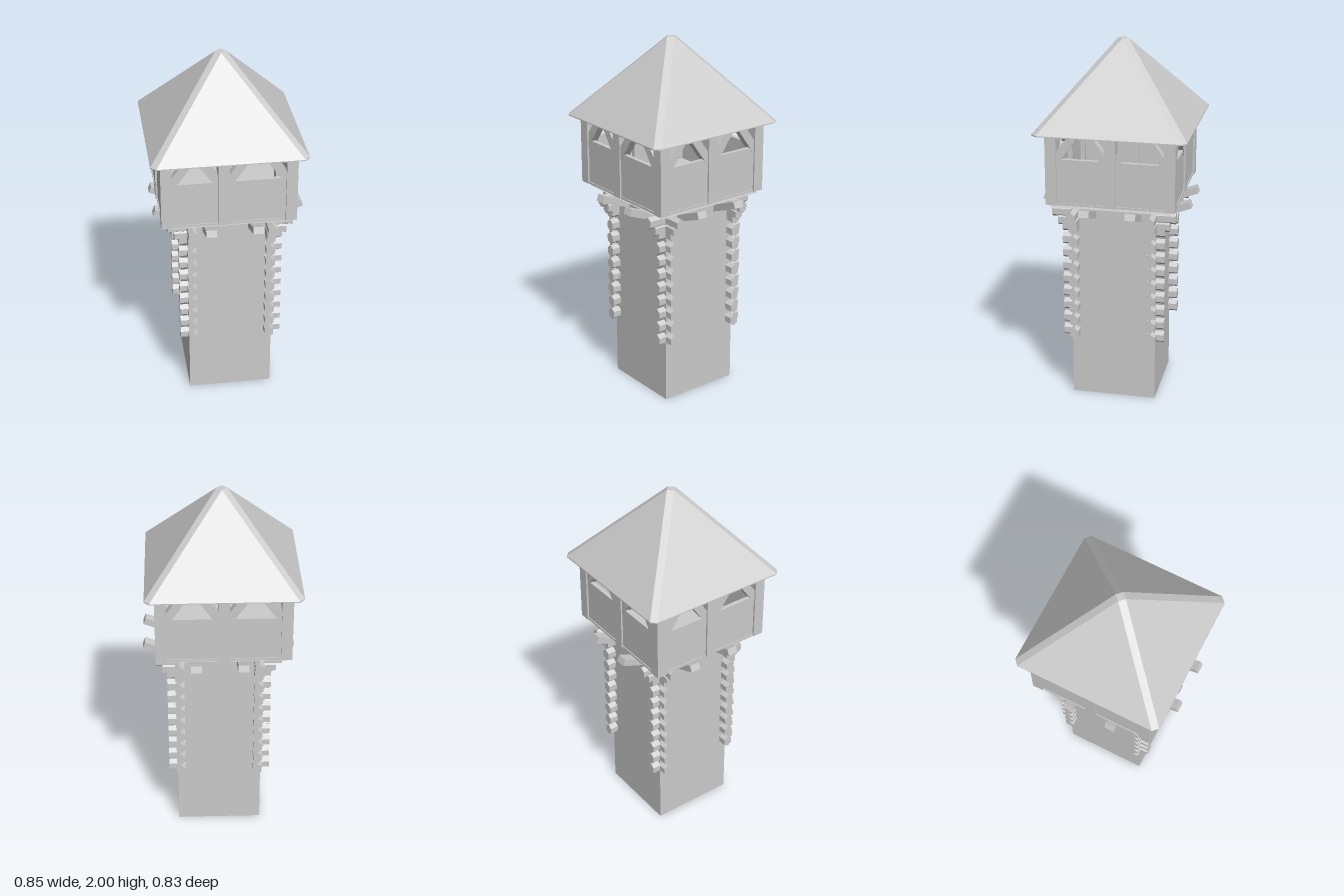
import * as THREE from 'three';
import { ConvexGeometry } from 'three/addons/geometries/ConvexGeometry.js';

const mat = new THREE.MeshStandardMaterial({ color: 0xcccccc, flatShading: true });
const matDouble = new THREE.MeshStandardMaterial({ color: 0xcccccc, flatShading: true, side: THREE.DoubleSide });

function add(parent, name, geometry, x = 0, y = 0, z = 0, material = mat) {
  const mesh = new THREE.Mesh(geometry, material);
  mesh.name = name;
  mesh.position.set(x, y, z);
  parent.add(mesh);
  return mesh;
}

const box = (w, h, d) => new THREE.BoxGeometry(w, h, d);

// Square ring of corner points, with corners cut by c
function squareRing(half, y, c = 0) {
  const pts = [];
  for (const sx of [-1, 1]) for (const sz of [-1, 1]) {
    pts.push(new THREE.Vector3(sx * (half - c), y, sz * half));
    if (c) pts.push(new THREE.Vector3(sx * half, y, sz * (half - c)));
  }
  return pts;
}

// Hexagonal log end along z, from z0 to z1, with a ridge on top
function logGeometry(z0, z1) {
  const g = new THREE.CylinderGeometry(0.034, 0.034, z1 - z0, 6);
  g.rotateX(Math.PI / 2);
  g.scale(0.83, 1, 1);
  g.translate(0, 0, (z0 + z1) / 2);
  return g;
}

// Flat beam in the xy plane between two points
function beam(parent, name, x0, y0, x1, y1, z, thick, depth) {
  const m = add(parent, name, box(Math.hypot(x1 - x0, y1 - y0), thick, depth), (x0 + x1) / 2, (y0 + y1) / 2, z);
  m.rotation.z = Math.atan2(y1 - y0, x1 - x0);
}

function createTowerBase() {
  const base = new THREE.Group();
  base.name = 'towerBase';
  base.position.set(0.022, 0, 0.002);

  // Hollow shaft, open at the bottom
  const half = 0.2335, top = 1.115;
  const shaft = new THREE.CylinderGeometry(half * Math.SQRT2, half * Math.SQRT2, top, 4, 1, true);
  shaft.rotateY(Math.PI / 4);
  add(base, 'shaft', shaft, 0, top / 2, 0, matDouble);

  // Shallow flared collar on the shaft
  add(base, 'collar', new ConvexGeometry([...squareRing(half, 1.105), ...squareRing(0.33, 1.14)]));

  // Interlocked log ends at the corners, stepping out under the room
  const rows = [];
  for (let i = 0; i < 9; i++) rows.push([0.379 + i * 0.078, 0.283]);
  rows.push([1.035, 0.307], [1.083, 0.34]);
  for (let side = 0; side < 4; side++) {
    const logs = new THREE.Group();
    logs.name = 'cornerLogs';
    logs.rotation.y = side * Math.PI / 2;
    for (const [y, reach] of rows) for (const s of [-1, 1])
      add(logs, 'logEnd', logGeometry(0.19, reach), s * 0.215, y, 0);
    base.add(logs);
  }

  // Two sloping brackets on each side carry the room
  for (let side = 0; side < 4; side++) {
    const brackets = new THREE.Group();
    brackets.name = 'brackets';
    brackets.rotation.y = side * Math.PI / 2;
    for (const s of [-1, 1])
      beam(brackets, 'bracket', 0.2, 1.062, 0.405, 1.14, s * 0.125, 0.038, 0.057);
    base.add(brackets);
  }
  return base;
}

function createRoom() {
  const room = new THREE.Group();
  room.name = 'lookoutRoom';
  const low = 1.155, eave = 1.55, sill = 1.41, post = 0.06;
  const hx = 0.362, hz = 0.35, midY = (low + eave) / 2;

  add(room, 'floor', box(2 * hx - 0.01, 0.012, 2 * hz - 0.01), 0, low + 0.006, 0);
  for (const sx of [-1, 1]) for (const sz of [-1, 1])
    add(room, 'cornerPost', box(post, eave - low, post), sx * (hx - post / 2), midY, sz * (hz - post / 2));

  // Each wall: low panel, middle post and four braces
  const walls = [
    ['frontWall', 0, hx, hz, -0.03],
    ['backWall', Math.PI, hx, hz, 0],
    ['leftWall', Math.PI / 2, hz, hx, 0],
    ['rightWall', -Math.PI / 2, hz, hx, 0],
  ];
  for (const [name, angle, half, dist, mid] of walls) {
    const wall = new THREE.Group();
    wall.name = name;
    wall.rotation.y = angle;
    add(wall, 'panel', box(2 * half - 0.04, sill - low, 0.024), 0, (sill + low) / 2, dist - 0.022);
    add(wall, 'middlePost', box(post, eave - low, post), mid, midY, dist - post / 2);
    const edges = [[-half + post, 1], [mid - post / 2, -1], [mid + post / 2, 1], [half - post, -1]];
    for (const [x, dir] of edges)
      beam(wall, 'brace', x - dir * 0.022, 1.38, x + dir * 0.1, 1.55, dist - post / 2, 0.046, 0.044);
    room.add(wall);
  }
  return room;
}

export function createModel() {
  const tower = new THREE.Group();
  tower.name = 'watchtower';
  tower.add(createTowerBase(), createRoom());

  // Hipped roof with cut corners and a small diamond top
  const peak = [[1, 0], [-1, 0], [0, 1], [0, -1]].map(([x, z]) => new THREE.Vector3(x * 0.028, 2, z * 0.028));
  add(tower, 'roof', new ConvexGeometry([...squareRing(0.413, 1.544, 0.028), ...squareRing(0.413, 1.55, 0.028), ...peak]));
  return tower;
}
